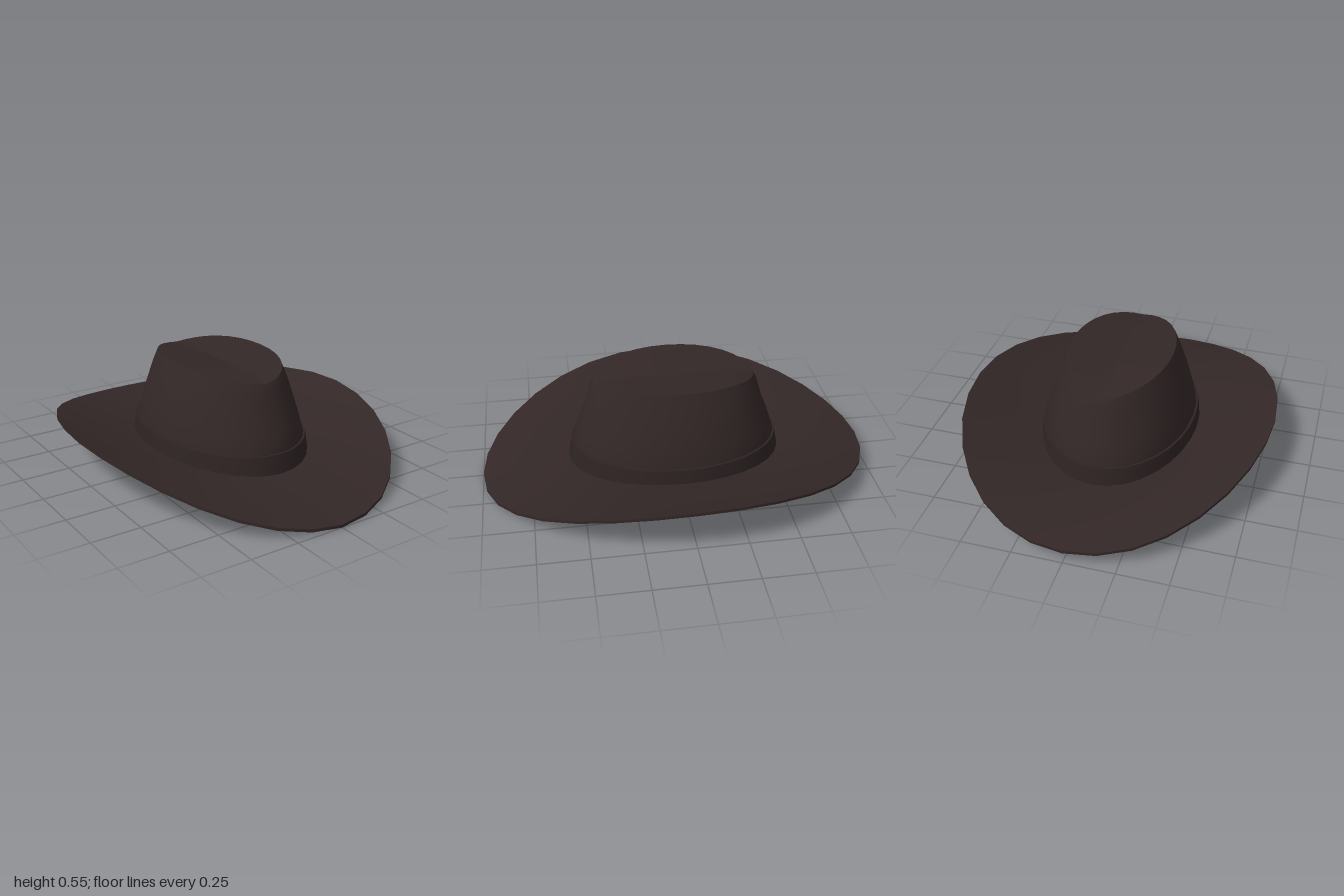
import * as THREE from 'three';
import { mergeGeometries } from 'three/addons/utils/BufferGeometryUtils.js';

const SIDES = 32;

// Smooth skin through closed rings; ring(r, angle) gives a point [x, y, z].
function loft(rows, ring) {
  const points = [], index = [];
  for (let r = 0; r < rows; r++)
    for (let i = 0; i < SIDES; i++) points.push(...ring(r, (i / SIDES) * Math.PI * 2));
  for (let r = 0; r < rows - 1; r++)
    for (let i = 0; i < SIDES; i++) {
      const a = r * SIDES + i, b = r * SIDES + ((i + 1) % SIDES);
      index.push(a, a + SIDES, b, b, a + SIDES, b + SIDES);
    }
  const g = new THREE.BufferGeometry();
  g.setAttribute('position', new THREE.Float32BufferAttribute(points, 3));
  g.setIndex(index);
  g.computeVertexNormals();
  return g;
}

const oval = (a, b, t, y) => [a * Math.cos(t), y, b * Math.sin(t)];

// Height of the brim underside: sides curl up, the front dips lowest.
function brimHeight(t, k) {
  const c = Math.cos(t), s = Math.sin(t);
  const inner = 0.078 + 0.025 * c * c;
  const left = c < 0 ? 0.012 * -c + 0.03 * -c * Math.max(0, s) : 0;
  const outer = 0.03 - 0.03 * s + 0.2 * Math.pow(Math.abs(c), 2.2) + left;
  const bend = 0.012 * (1 - Math.abs(s)) - 0.01 * Math.abs(s);
  return inner + (outer - inner) * k - bend * 4 * k * (1 - k);
}

const brimPoint = (t, k, lift) =>
  oval(0.385 + 0.415 * k, 0.53 + 0.47 * k, t, brimHeight(t, k) + lift);

// Crown rim and its lengthwise crease.
const topHeight = (x, z) => 0.521 + 0.03 * Math.abs(x) / 0.265 - 0.016 * Math.pow(Math.abs(z) / 0.41, 4);

export function createModel() {
  const hat = new THREE.Group();
  hat.name = 'hat';
  const felt = new THREE.MeshStandardMaterial({ color: 0x332727, side: THREE.DoubleSide });
  felt.name = 'dark brown felt';
  const ribbon = new THREE.MeshStandardMaterial({ color: 0x2e2323, side: THREE.DoubleSide });
  ribbon.name = 'deep brown ribbon';
  const add = (name, geometry, material) => {
    const mesh = new THREE.Mesh(geometry, material);
    mesh.name = name;
    hat.add(mesh);
  };

  // Brim: underside, thin edge and upper face
  const thick = 0.015, steps = 6;
  add('brim', mergeGeometries([
    loft(steps + 1, (r, t) => brimPoint(t, r / steps, 0)),
    loft(2, (r, t) => brimPoint(t, 1, r * thick)),
    loft(steps + 1, (r, t) => brimPoint(t, 1 - r / steps, thick)),
  ]), felt);

  // Crown wall: [half width, half length, height], the last ring follows the rim
  const wall = [[0.385, 0.53, 0.09], [0.38, 0.525, 0.19], [0.36, 0.495, 0.28], [0.335, 0.46, 0.37], [0.298, 0.431, 0.47]];
  add('crownWall', loft(wall.length + 1, (r, t) => {
    if (r < wall.length) {
      const [a, b, y] = wall[r];
      return oval(a, b, t, r ? y : brimHeight(t, 0));
    }
    const [x, , z] = oval(0.265, 0.41, t, 0);
    return [x, topHeight(x, z), z];
  }), felt);

  // Creased crown top
  add('crownTop', loft(6, (r, t) => {
    const k = 1 - r / 5;
    const [x, , z] = oval(0.265 * k, 0.41 * k, t, 0);
    return [x, topHeight(x, z), z];
  }), felt);

  // Hat band: outer face and narrow top ledge
  const bandTop = t => 0.186 + 0.008 * Math.cos(t) ** 2;
  add('hatBand', mergeGeometries([
    loft(2, (r, t) => r ? oval(0.391, 0.536, t, bandTop(t)) : oval(0.402, 0.553, t, brimHeight(t, 0) + 0.012)),
    loft(2, (r, t) => r ? oval(0.375, 0.52, t, bandTop(t)) : oval(0.391, 0.536, t, bandTop(t))),
  ]), ribbon);

  return hat;
}
